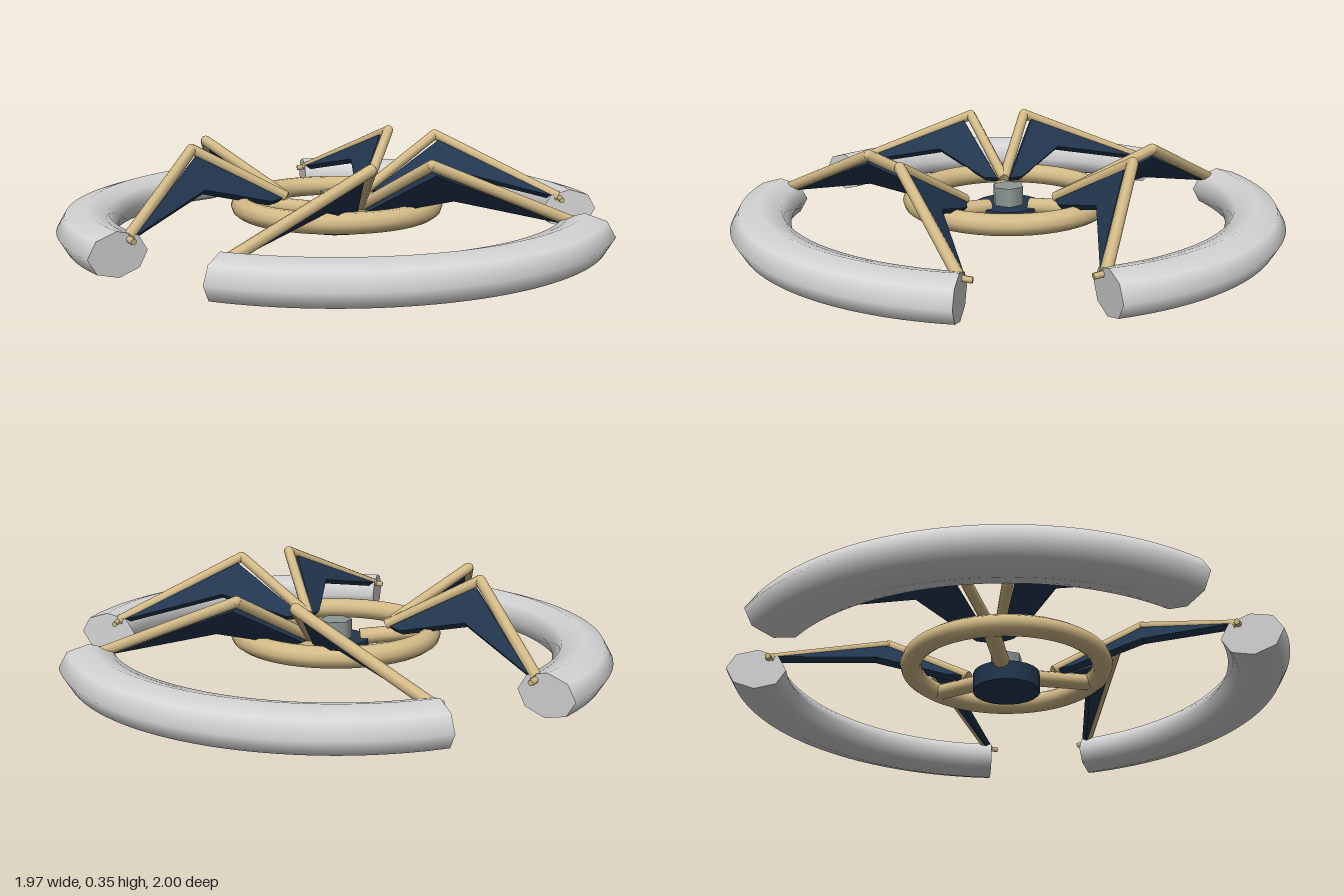
import * as THREE from 'three';
import { mergeGeometries } from 'three/addons/utils/BufferGeometryUtils.js';

const material = (name, color) => new THREE.MeshStandardMaterial({ name, color });
const V = (x, y, z) => new THREE.Vector3(x, y, z);

function addMesh(parent, name, geometry, mat) {
  const mesh = new THREE.Mesh(geometry, mat);
  mesh.name = name;
  parent.add(mesh);
  return mesh;
}

// Straight rod between two points
function rod(a, b, radius, sides = 8) {
  const dir = b.clone().sub(a);
  const g = new THREE.CylinderGeometry(radius, radius, dir.length(), sides);
  g.applyQuaternion(new THREE.Quaternion().setFromUnitVectors(V(0, 1, 0), dir.normalize()));
  const mid = a.clone().add(b).multiplyScalar(0.5);
  return g.translate(mid.x, mid.y, mid.z);
}

// Flattened partial torus with closed ends
function rimGeometry() {
  const half = THREE.MathUtils.degToRad(46), R = 0.895, r = 0.105, squash = 0.075 / r;
  const tube = new THREE.TorusGeometry(R, r, 8, 40, half * 2);
  tube.rotateX(-Math.PI / 2).rotateY(-half);
  const caps = [-1, 1].map((s) => {
    const cap = new THREE.CircleGeometry(r, 8);
    if (s > 0) cap.rotateY(Math.PI);
    return cap.translate(R, 0, 0).rotateY(s * half);
  });
  return mergeGeometries([tube, ...caps]).scale(1, squash, 1).translate(0, 0.075, 0);
}

// Flat plate through a near-planar loop of points, given a thickness
function plate(points, thickness) {
  const [o, , t] = points;
  const u = t.clone().sub(o).normalize();
  const n = u.clone().cross(points[1].clone().sub(o)).normalize();
  const v = n.clone().cross(u);
  const shape = new THREE.Shape(points.map((p) => {
    const d = p.clone().sub(o);
    return new THREE.Vector2(d.dot(u), d.dot(v));
  }));
  const g = new THREE.ExtrudeGeometry(shape, { depth: thickness, bevelEnabled: false });
  g.translate(0, 0, -thickness / 2);
  return g.applyMatrix4(new THREE.Matrix4().makeBasis(u, v, n).setPosition(o));
}

export function createModel() {
  const model = new THREE.Group();
  model.name = 'threeArmedWheel';
  const pale = material('paleGrey', 0xd4d4d4);
  const gold = material('paleGold', 0xd4bb88);
  const navy = material('navy', 0x22364f);
  const steel = material('steel', 0x8d9996);

  const wheel = new THREE.Group();
  wheel.name = 'wheel';
  wheel.position.x = -0.015;
  model.add(wheel);

  // Hub, nut and inner ring
  addMesh(wheel, 'hub', new THREE.CylinderGeometry(0.122, 0.122, 0.07, 24), navy).position.y = 0.065;
  addMesh(wheel, 'hubNut', new THREE.CylinderGeometry(0.06, 0.06, 0.07, 6).rotateY(Math.PI / 6), steel).position.y = 0.133;
  addMesh(wheel, 'innerRing', new THREE.TorusGeometry(0.35, 0.038, 10, 48).rotateX(Math.PI / 2), gold).position.y = 0.125;

  const rim = rimGeometry();
  for (let i = 0; i < 3; i++) {
    const section = new THREE.Group();
    section.name = 'section' + (i + 1);
    section.rotation.y = (i * Math.PI * 2) / 3;
    wheel.add(section);

    addMesh(section, 'rim', rim, pale);
    addMesh(section, 'spoke', rod(V(0.09, 0.1, 0), V(0.35, 0.12, 0), 0.03, 10), gold);

    // Mirrored pair of bent arms with webs below them
    for (const s of [-1, 1]) {
      const root = V(0.19, 0.145, 0);
      const elbow = V(0.512, 0.332, s * 0.11);
      const tip = V(0.6, 0.12, s * 0.608);
      const arm = new THREE.Group();
      arm.name = s > 0 ? 'frontArm' : 'backArm';
      section.add(arm);
      addMesh(arm, 'lowerStrut', rod(root, elbow, 0.02), gold);
      addMesh(arm, 'upperStrut', rod(elbow, tip, 0.02), gold);
      addMesh(arm, 'elbow', new THREE.SphereGeometry(0.02, 8, 6), gold).position.copy(elbow);
      addMesh(arm, 'tipPeg', rod(tip, V(0.572, 0.115, s * 0.637), 0.011, 6), gold);

      const inner = V(0.445, 0.195, s * 0.235);
      const web = [
        V(0.205, 0.135, s * 0.02),
        elbow.clone().lerp(inner, 0.2),
        V(0.585, 0.118, s * 0.595),
        inner,
        V(0.245, 0.12, s * 0.065),
      ];
      addMesh(arm, 'web', plate(web, 0.024), navy);
    }
  }
  return model;
}
